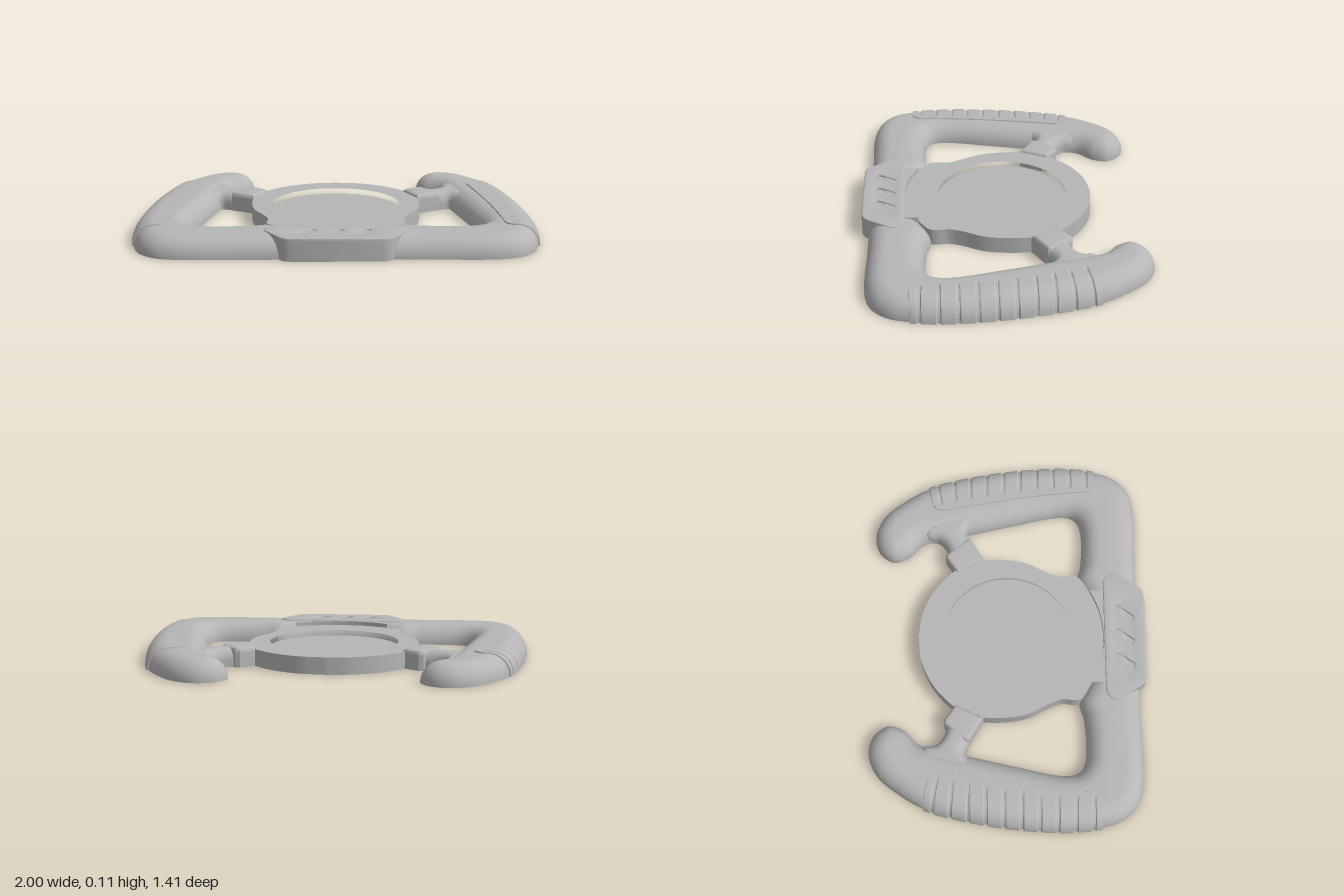
import * as THREE from 'three';
import { toCreasedNormals } from 'three/addons/utils/BufferGeometryUtils.js';

const RIM_H = 0.106, RIM_R = 0.1;

// Outlines are lists of [x, z]; shapes use y = -z so they lie flat after rotation.
const curveOf = (pts) => new THREE.CatmullRomCurve3(pts.map(([x, z]) => new THREE.Vector3(x, 0, z)));
const smooth = (pts, n) => curveOf(pts).getPoints(n).map((p) => [p.x, p.z]);
const flip = (pts) => pts.map(([x, z]) => [-x, z]);
const closeMirror = (half) => [...half, ...flip(half.slice(1, -1)).reverse()];
const shapeOf = (pts) => new THREE.Shape(pts.map(([x, z]) => new THREE.Vector2(x, -z)));

// Flat-bottomed slab with a rounded top edge
function slab(shape, height, radius, base = 0, round = radius, segments = 8) {
  const geo = new THREE.ExtrudeGeometry(shape, {
    depth: height - round, bevelEnabled: radius > 0, bevelThickness: round,
    bevelSize: radius, bevelOffset: -radius, bevelSegments: segments, curveSegments: 64,
  });
  geo.rotateX(-Math.PI / 2);
  const p = geo.attributes.position;
  for (let i = 0; i < p.count; i++) p.setY(i, Math.max(p.getY(i), 0) + base);
  return toCreasedNormals(geo, 0.6);
}

// Half of the rim: bottom bar, side, horn, inner edge, back to the middle
const rimHalf = [
  [0, 0.67], [0.4, 0.67], [0.76, 0.67], [0.87, 0.635], [0.94, 0.56], [0.973, 0.46], [0.99, 0.3],
  [0.98, 0.08], [0.94, -0.19], [0.875, -0.43], [0.8, -0.56], [0.71, -0.665], [0.6, -0.71],
  [0.505, -0.685], [0.455, -0.61], [0.48, -0.53], [0.55, -0.46], [0.575, -0.38], [0.62, -0.18],
  [0.67, 0.04], [0.715, 0.26], [0.705, 0.34], [0.65, 0.38], [0.42, 0.38], [0.37, 0.365],
  [0.33, 0.36], [0.18, 0.425], [0, 0.452],
];
const gripInner = [[0.82, 0.46], [0.81, 0.3], [0.785, 0.08], [0.74, -0.19], [0.7, -0.395]];

// Raised grip wrapped over the outer side of the rim, with cross grooves
function gripGeometry(side) {
  const outer = curveOf(rimHalf), inner = curveOf(gripInner);
  const rows = 280, pos = [], index = [];
  let cols = 0;
  for (let i = 0; i <= rows; i++) {
    const f = i / rows;
    const O = outer.getPoint((5 + 4 * f) / (rimHalf.length - 1));
    const I = inner.getPoint(f);
    const end = Math.max(0, 1 - Math.min(f, 1 - f) / 0.07);
    I.lerp(O, 0.35 * (1 - Math.sqrt(1 - end * end)));
    const width = O.distanceTo(I), dir = I.clone().sub(O).normalize();
    const phase = (O.z + 0.385) / 0.089;
    const dist = Math.abs(phase - Math.round(phase)) * 0.089;
    const groove = 1 - THREE.MathUtils.smoothstep(dist, 0.006, 0.012);
    const lift = (q) => (i === 0 || i === rows ? -0.003 : 0.01 - (q < 0.55 ? 0.009 * groove : 0));
    const section = [[0.04, 0]];
    for (let k = 0; k <= 9; k++) {
      const a = (k / 9) * Math.PI / 2, e = lift(0);
      section.push([RIM_R - (RIM_R + e) * Math.cos(a), (RIM_H + e * 0.6) * Math.sin(a)]);
    }
    for (let k = 1; k <= 8; k++) {
      section.push([THREE.MathUtils.lerp(RIM_R, width, k / 8), RIM_H + lift(k / 8) * 0.6]);
    }
    section.push([width + 0.003, RIM_H - 0.004]);
    cols = section.length;
    for (const [d, y] of section) pos.push(side * (O.x + dir.x * d), y, O.z + dir.z * d);
  }
  for (let i = 0; i < rows; i++) {
    for (let j = 0; j < cols - 1; j++) {
      const a = i * cols + j, b = a + cols;
      if (side > 0) index.push(a, b, a + 1, b, b + 1, a + 1);
      else index.push(a, a + 1, b, b, a + 1, b + 1);
    }
  }
  const geo = new THREE.BufferGeometry();
  geo.setAttribute('position', new THREE.Float32BufferAttribute(pos, 3));
  geo.setIndex(index);
  return toCreasedNormals(geo.toNonIndexed(), 0.6);
}

export function createModel() {
  const group = new THREE.Group();
  const grey = new THREE.MeshStandardMaterial({ color: 0xb6b6b6 });
  grey.name = 'grey plastic';
  const add = (name, geo) => {
    const mesh = new THREE.Mesh(geo, grey);
    mesh.name = name;
    group.add(mesh);
    return mesh;
  };

  // Open rim with two horns
  add('rim', slab(shapeOf(closeMirror(smooth(rimHalf, 189))), RIM_H, RIM_R, 0, RIM_H - 0.004));

  // Hub with a round recess
  const hubHalf = smooth([
    [0, -0.465], [0.13, -0.447], [0.25, -0.392], [0.35, -0.305], [0.41, -0.22], [0.432, -0.11],
    [0.43, 0], [0.41, 0.1], [0.36, 0.2], [0.335, 0.27], [0.34, 0.33], [0.33, 0.365],
    [0.25, 0.418], [0.13, 0.469], [0, 0.487],
  ], 112);
  const hub = shapeOf(closeMirror(hubHalf));
  hub.holes.push(new THREE.Path().absarc(0, 0.01, 0.33, 0, Math.PI * 2, true));
  add('hub', slab(hub, 0.085, 0));
  add('hubRecessFloor', new THREE.CylinderGeometry(0.335, 0.335, 0.055, 64).translate(0, 0.0275, -0.01));

  // Step between the hub and the bottom bar
  const step = [];
  for (let i = 0; i <= 24; i++) {
    const x = -0.25 + i / 48;
    step.push([x, Math.sqrt(0.487 ** 2 - x * x)]);
  }
  add('hubStep', slab(shapeOf([...step, [0.25, 0.56], [-0.25, 0.56]]), RIM_H, 0));

  // Badge plate with three slanted slots
  const plate = closeMirror([
    [0, 0.49], [0.3, 0.49], [0.32, 0.5], [0.343, 0.53], [0.343, 0.555], [0.265, 0.675],
    [0.245, 0.693], [0.215, 0.702], [0, 0.702],
  ]);
  add('frontPlateBase', slab(shapeOf(plate), 0.1, 0));
  const top = shapeOf(plate);
  for (const cx of [-0.137, -0.006, 0.124]) {
    const slot = [];
    for (let k = 0; k < 24; k++) {
      const a = (k / 24) * Math.PI * 2 + 0.0001, s = Math.sin(a) > 0 ? 0.042 : -0.042;
      const u = 0.016 * Math.cos(a), v = 0.016 * Math.sin(a) + s;
      slot.push(new THREE.Vector2(cx + u * 0.83 + v * 0.56, -0.59 - u * 0.56 + v * 0.83));
    }
    top.holes.push(new THREE.Path(slot));
  }
  add('frontPlateTop', slab(top, 0.012, 0.006, 0.1, 0.006, 3));

  // Spokes, collars, grips and underside pins on both sides
  const spoke = smooth([
    [0.36, -0.25], [0.46, -0.31], [0.525, -0.335], [0.562, -0.37], [0.58, -0.44], [0.7, -0.4],
    [0.73, -0.17], [0.65, -0.19], [0.605, -0.222], [0.56, -0.205], [0.5, -0.175], [0.42, -0.14],
  ], 66);
  const collar = [[0.36, -0.27], [0.44, -0.33], [0.465, -0.328], [0.552, -0.222], [0.55, -0.2], [0.43, -0.13]];
  for (const side of [1, -1]) {
    const pre = side > 0 ? 'left' : 'right';
    const turn = (pts) => (side > 0 ? pts : flip(pts));
    add(pre + 'Spoke', slab(shapeOf(turn(spoke)), 0.095, 0.05, 0, 0.06));
    add(pre + 'Collar', slab(shapeOf(turn(collar)), 0.1, 0.02, 0, 0.025, 5));
    add(pre + 'Grip', gripGeometry(side));
    for (const [x, z] of [[0.62, -0.6], [0.85, 0.53]]) {
      add(pre + 'Pin', new THREE.CylinderGeometry(0.022, 0.022, 0.004, 4).translate(side * x, 0.001, z));
    }
  }
  return group;
}
